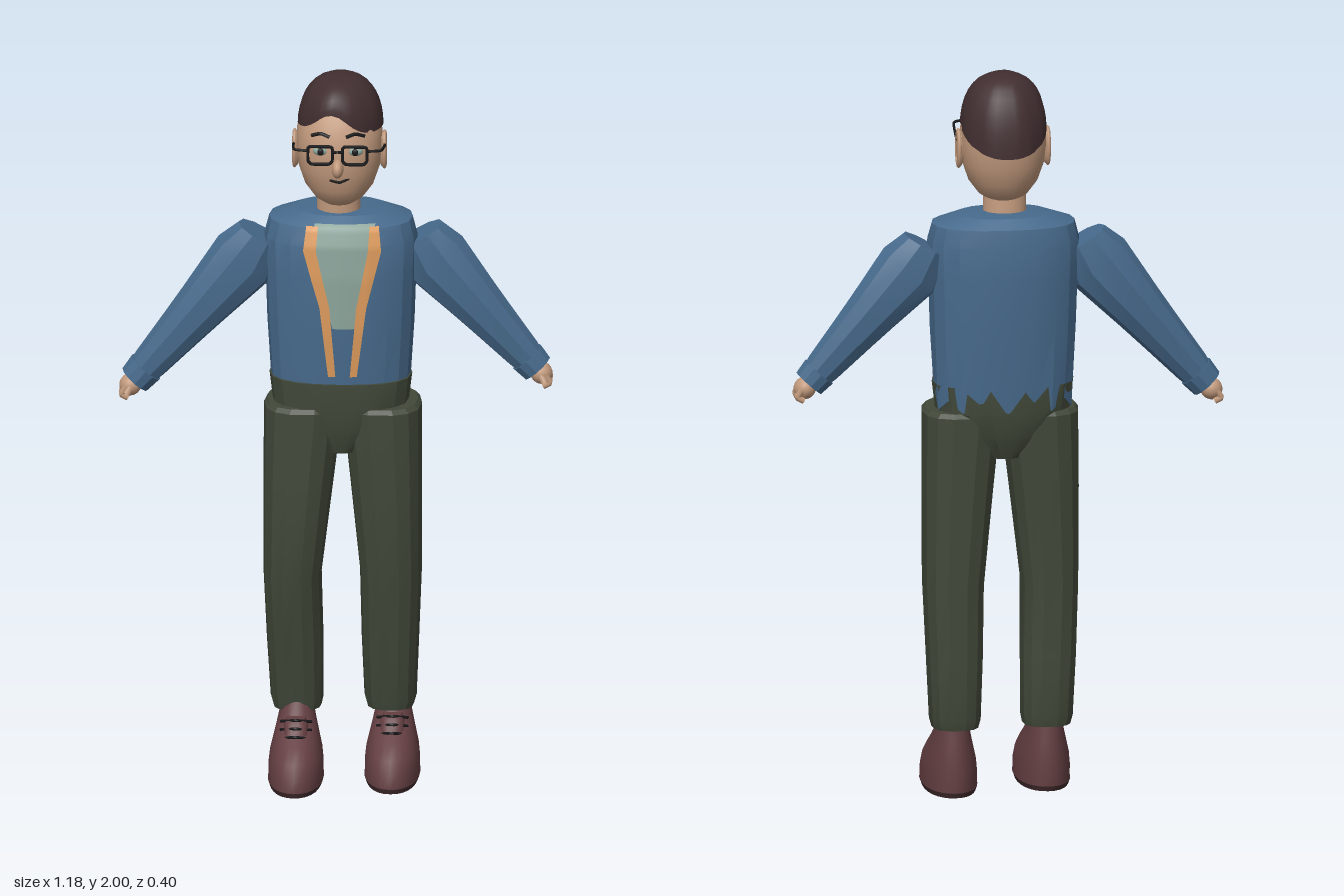
import * as THREE from 'three';
import { toCreasedNormals } from 'three/addons/utils/BufferGeometryUtils.js';

const mat = (name, color, side = THREE.FrontSide) => {
  const m = new THREE.MeshStandardMaterial({ color, side });
  m.name = name;
  return m;
};

export function createModel() {
  const root = new THREE.Group();
  root.name = 'standingMan';
  const blue = mat('jacket blue', 0x476a8c), green = mat('trouser green', 0x414839);
  const brown = mat('shoe brown', 0x643f42), soleMat = mat('sole brown', 0x402a2c);
  const skin = mat('skin', 0xc29a7d), hairMat = mat('hair brown', 0x412e30);
  const orange = mat('trim orange', 0xdc9a5c, THREE.DoubleSide);
  const sage = mat('shirt sage', 0x8ca59b, THREE.DoubleSide);
  const black = mat('black', 0x1a1a1c);

  const add = (name, geo, material, parent = root) => {
    const m = new THREE.Mesh(geo, material);
    m.name = name;
    parent.add(m);
    return m;
  };

  // Capped skin over rings [x, y, z, radius across, radius in z, tilt], lowest first
  const loft = (rings, n = 18, p = 2.3, crease = 0.3, bend = null) => {
    const pos = [], idx = [];
    const pow = (v) => Math.sign(v) * Math.abs(v) ** (2 / p);
    rings.forEach(([x, y, z, rx, rz, t = 0], i) => {
      for (let j = 0; j < n; j++) {
        const a = (j / n) * Math.PI * 2, u = pow(Math.cos(a)) * rx, v = pow(Math.sin(a)) * rz;
        let q = [x + u * Math.cos(t), y + u * Math.sin(t), z + v];
        if (bend) q = bend(q, a, i, j);
        pos.push(...q);
        if (i < rings.length - 1) {
          const k = (j + 1) % n, A = i * n + j, B = i * n + k;
          idx.push(A, A + n, B, B, A + n, B + n);
        }
      }
    });
    const last = (rings.length - 1) * n;
    [0, last].forEach((s) => {
      const c = [0, 0, 0];
      for (let j = 0; j < n; j++) for (let k = 0; k < 3; k++) c[k] += pos[(s + j) * 3 + k] / n;
      const id = pos.length / 3;
      pos.push(...c);
      for (let j = 0; j < n; j++) {
        const k = (j + 1) % n;
        if (s === 0) idx.push(id, j, k);
        else idx.push(id, s + k, s + j);
      }
    });
    const g = new THREE.BufferGeometry();
    g.setAttribute('position', new THREE.Float32BufferAttribute(pos, 3));
    g.setIndex(idx);
    return toCreasedNormals(g, crease);
  };

  const tube = (name, pts, r, material, closed = false, parent = root) => {
    const c = new THREE.CatmullRomCurve3(pts.map((q) => new THREE.Vector3(...q)), closed, 'catmullrom', 0.2);
    return add(name, new THREE.TubeGeometry(c, pts.length * 6, r, 6, closed), material, parent);
  };
  const blob = (name, c, s, material, parent = root) => {
    const m = add(name, new THREE.SphereGeometry(1, 18, 12), material, parent);
    m.position.set(...c);
    m.scale.set(...s);
    return m;
  };

  // Jacket body with a ragged hem at the back
  const CX = 0.018;
  const torso = add('jacketBody', loft([
    [CX, 1.14, -0.058, 0.19, 0.118], [CX, 1.3, -0.06, 0.2, 0.13],
    [CX, 1.45, -0.062, 0.205, 0.134], [CX, 1.54, -0.064, 0.208, 0.13],
    [CX, 1.59, -0.068, 0.195, 0.118], [CX, 1.615, -0.07, 0.12, 0.085], [CX, 1.618, -0.06, 0.06, 0.05],
  ], 20, 2.4, 0.3, (q, a, i, j) => {
    if (i === 0 && Math.sin(a) < -0.2) q[1] -= j % 2 ? 0.065 : 0.035;
    return q;
  }), blue);

  // Thin panels laid over the chest: rows of [y, xLeft, xRight]
  torso.updateMatrixWorld(true);
  const ray = new THREE.Raycaster();
  const frontZ = (x, y) => {
    ray.set(new THREE.Vector3(x, y, 1), new THREE.Vector3(0, 0, -1));
    const h = ray.intersectObject(torso);
    return h.length ? h[0].point.z : 0;
  };
  const panel = (name, rows, lift, material) => {
    const g = new THREE.PlaneGeometry(1, 1, 6, 24), P = g.attributes.position;
    for (let i = 0; i < P.count; i++) {
      const f = (0.5 - P.getY(i)) * (rows.length - 1), k = Math.min(Math.floor(f), rows.length - 2);
      const [y, l, r] = rows[k].map((v, e) => v + (rows[k + 1][e] - v) * (f - k));
      const x = l + (r - l) * (P.getX(i) + 0.5);
      P.setXYZ(i, x, y, frontZ(x, y) + lift);
    }
    g.computeVertexNormals();
    add(name, g, material);
  };
  panel('shirtFront', [[1.6, -0.05, 0.115], [1.53, -0.055, 0.11], [1.42, -0.025, 0.085], [1.31, 0, 0.06]], 0.005, sage);
  panel('rightTrim', [[1.595, -0.072, -0.04], [1.53, -0.08, -0.045], [1.37, -0.035, -0.008], [1.17, -0.012, 0.008]], 0.008, orange);
  panel('leftTrim', [[1.595, 0.1, 0.125], [1.53, 0.096, 0.132], [1.37, 0.065, 0.092], [1.17, 0.047, 0.066]], 0.008, orange);

  // Arms: [share of the way from wrist to shoulder, radius across, radius in z]
  const arm = (side, s, wrist, shoulder) => {
    const g = new THREE.Group();
    g.name = side + 'Arm';
    root.add(g);
    const at = (f) => wrist.map((v, i) => v + (shoulder[i] - v) * f);
    const tilt = s * 0.73;
    add(side + 'Sleeve', loft([
      [0.02, 0.042, 0.038], [0.12, 0.05, 0.042], [0.42, 0.064, 0.056], [0.6, 0.073, 0.063], [0.97, 0.094, 0.073],
    ].map(([f, a, b]) => [...at(f), a, b, tilt]).concat([
      [shoulder[0] - s * 0.035, shoulder[1] + 0.06, shoulder[2], 0.068, 0.062, s * 0.5]]), 10, 2.2, 0.35), blue, g);
    add(side + 'Cuff', loft([[...at(-0.02), 0.046, 0.042, tilt], [...at(0.08), 0.051, 0.045, tilt]], 12, 2, 0.4), blue, g);
    // Hand with a row of curled fingers and a thumb
    const h = at(-0.06);
    blob(side + 'Palm', h, [0.03, 0.032, 0.034], skin, g).rotation.z = tilt;
    for (let i = 0; i < 4; i++) {
      const z = h[2] - 0.026 + i * 0.017;
      tube(side + 'Finger', [[h[0] + s * 0.012, h[1], z], [h[0] + s * 0.024, h[1] - 0.02, z],
        [h[0] + s * 0.006, h[1] - 0.03, z]], 0.009, skin, false, g);
    }
    tube(side + 'Thumb', [[h[0], h[1], h[2] + 0.025], [h[0] + s * 0.01, h[1] - 0.018, h[2] + 0.035]], 0.01, skin, false, g);
  };
  arm('right', -1, [-0.535, 1.12, -0.055], [-0.235, 1.475, -0.065]);
  arm('left', 1, [0.545, 1.16, -0.075], [0.268, 1.475, -0.083]);

  // Trousers
  add('trouserHips', loft([
    [CX, 0.94, -0.05, 0.055, 0.09], [CX, 1.0, -0.053, 0.13, 0.112],
    [CX, 1.07, -0.055, 0.185, 0.122], [CX, 1.145, -0.055, 0.194, 0.122],
  ], 18, 2.5), green);
  add('rightTrouserLeg', loft([
    [-0.1, 0.185, -0.065, 0.066, 0.072], [-0.101, 0.21, -0.065, 0.072, 0.077], [-0.106, 0.38, -0.055, 0.077, 0.085],
    [-0.112, 0.58, -0.03, 0.079, 0.108], [-0.096, 0.85, -0.04, 0.096, 0.116], [-0.082, 1.06, -0.045, 0.108, 0.116],
    [-0.08, 1.072, -0.045, 0.1, 0.108],
  ], 14, 2.6), green);
  add('leftTrouserLeg', loft([
    [0.152, 0.185, -0.08, 0.064, 0.072], [0.152, 0.21, -0.08, 0.071, 0.078], [0.152, 0.38, -0.07, 0.078, 0.088],
    [0.154, 0.58, -0.055, 0.084, 0.106], [0.141, 0.85, -0.048, 0.098, 0.114], [0.13, 1.06, -0.048, 0.109, 0.116],
    [0.128, 1.072, -0.048, 0.1, 0.108],
  ], 14, 2.6), green);

  // Shoes: [y, half width, heel z, toe z]
  const shoe = (side, x, z) => {
    const g = new THREE.Group();
    g.name = side + 'Shoe';
    g.position.set(x, 0, z);
    root.add(g);
    const ring = ([y, rx, a, b]) => [0, y, (a + b) / 2, rx, (b - a) / 2];
    add(side + 'Sole', loft([[0, 0.071, -0.155, 0.155], [0.014, 0.076, -0.16, 0.16]].map(ring), 28, 2.2, 0.6), soleMat, g);
    add(side + 'ShoeUpper', loft([
      [0.012, 0.075, -0.159, 0.159], [0.05, 0.075, -0.16, 0.157], [0.085, 0.071, -0.158, 0.132],
      [0.12, 0.062, -0.155, 0.085], [0.15, 0.054, -0.15, 0.03], [0.175, 0.048, -0.146, -0.01], [0.215, 0.045, -0.14, -0.03],
    ].map(ring), 28, 2.15, 0.9), brown, g);
    add(side + 'Tongue', loft([[0.13, 0.035, -0.03, 0.06], [0.165, 0.032, -0.04, 0.035], [0.178, 0.025, -0.05, 0.02]].map(ring), 14, 2.5, 0.6), brown, g);
    for (let i = 0; i < 3; i++) {
      const y = 0.14 + i * 0.018, d = 0.062 - i * 0.018;
      tube(side + 'Lace', [[-0.042, y - 0.012, d - 0.035], [0, y + 0.003, d], [0.042, y - 0.012, d - 0.035]], 0.004, black, false, g);
    }
  };
  shoe('right', -0.1, 0.04);
  shoe('left', 0.16, -0.005);

  // Neck and head
  add('neck', loft([[0.012, 1.58, -0.055, 0.06, 0.053], [0.012, 1.7, -0.048, 0.058, 0.05]], 20, 2, 0.6), skin);
  const HX = 0.015;
  add('head', loft([
    [HX, 1.65, -0.035, 0.045, 0.062], [HX, 1.665, -0.035, 0.068, 0.08], [HX, 1.7, -0.037, 0.094, 0.1],
    [HX, 1.75, -0.039, 0.111, 0.114], [HX, 1.8, -0.04, 0.117, 0.12], [HX, 1.85, -0.044, 0.116, 0.117],
    [HX, 1.89, -0.05, 0.107, 0.108], [HX, 1.93, -0.052, 0.086, 0.088], [HX, 1.97, -0.055, 0.04, 0.04],
  ], 28, 2.15, 1), skin);

  // Swept hair: hairline arched over the forehead and low at the nape
  const hairRings = [[0.86, 0]];
  for (let i = 0; i <= 9; i++) {
    const f = (i / 9) * 1.54;
    hairRings.push([Math.cos(f) ** 0.75, Math.sin(f)]);
  }
  add('hair', loft(hairRings.map(([r, f]) => [HX + 0.002, f, -0.062, 0.117 * r, 0.133 * r]), 40, 2.1, 0.9, (q, a, i, j) => {
    const d = Math.sin(a), bx = Math.cos(a) * 0.117;
    const base = 1.86 + (d > 0 ? 0.062 * Math.exp(-(((bx + 0.02) / 0.06) ** 2)) : 0.07 * d);
    const ridge = j % 5 === 0 ? 0.975 : 1;
    return [HX + (q[0] - HX) * ridge, base + (2 - base) * q[1], -0.062 + (q[2] + 0.062) * ridge];
  }), hairMat);

  // Face and ears
  blob('nose', [HX, 1.775, 0.085], [0.016, 0.026, 0.03], skin);
  tube('mouth', [[HX - 0.022, 1.737, 0.068], [HX + 0.005, 1.732, 0.073], [HX + 0.03, 1.742, 0.066]], 0.004, black);
  [-1, 1].forEach((s) => {
    const side = s < 0 ? 'right' : 'left', ex = HX + s * 0.047;
    blob(side + 'Eye', [ex, 1.82, 0.066], [0.021, 0.013, 0.013], sage);
    blob(side + 'Pupil', [ex, 1.82, 0.076], [0.009, 0.01, 0.005], black);
    tube(side + 'Eyebrow', [[ex - 0.025, 1.862, 0.073 - (s < 0 ? 0.014 : 0)], [ex, 1.871, 0.069], [ex + 0.025, 1.862, 0.073 - (s > 0 ? 0.014 : 0)]], 0.005, black);
    blob(side + 'Ear', [HX + s * 0.117, 1.79, -0.042], [0.011, 0.05, 0.027], skin);
    const rim = add(side + 'EarRim', new THREE.TorusGeometry(0.026, 0.006, 8, 24), skin);
    rim.position.set(HX + s * 0.122, 1.79, -0.042);
    rim.rotation.y = Math.PI / 2;
    rim.scale.y = 1.75;
    // Spectacles
    const w = 0.033, h = 0.025, z = 0.103;
    tube(side + 'LensFrame', [[-w, -h * 0.6], [-w, h * 0.8], [-w * 0.8, h], [w * 0.8, h], [w, h * 0.8], [w, -h * 0.6], [w * 0.7, -h], [-w * 0.7, -h]]
      .map(([x, y]) => [ex + x, 1.82 + y, z]), 0.0045, black, true);
    tube(side + 'Temple', [[ex + s * w, 1.833, z], [HX + s * 0.118, 1.83, 0.085], [HX + s * 0.124, 1.815, 0], [HX + s * 0.122, 1.803, -0.055]], 0.004, black);
  });
  tube('spectacleBridge', [[HX - 0.015, 1.828, 0.103], [HX, 1.833, 0.112], [HX + 0.015, 1.828, 0.103]], 0.004, black);

  return root;
}
